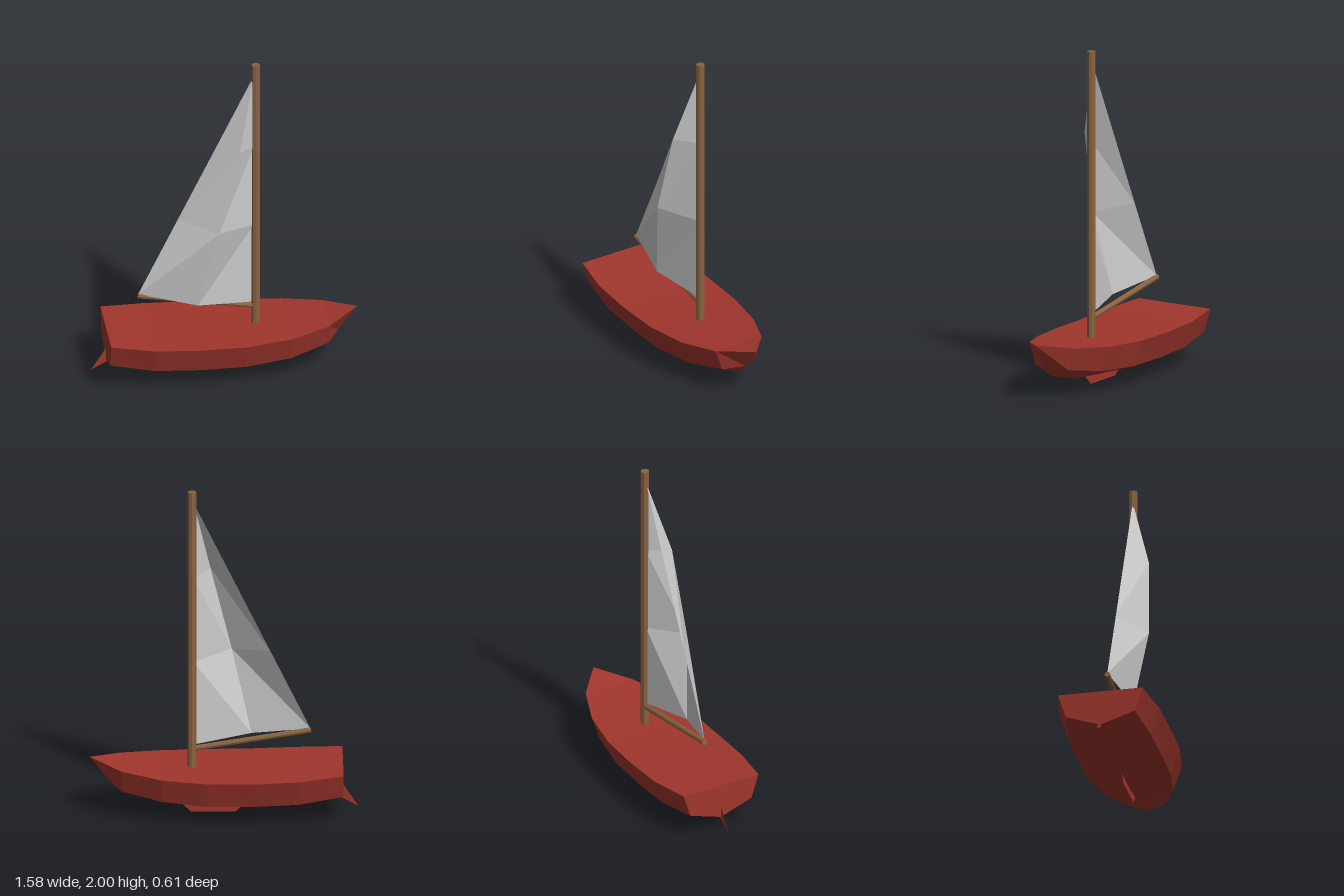
import * as THREE from 'three';

const paint = (color, side = THREE.FrontSide) =>
  new THREE.MeshStandardMaterial({ color, flatShading: true, side });
const red = 0xa0362d;
const wood = paint(0x8a6340);

function named(name, geometry, material) {
  const mesh = new THREE.Mesh(geometry, material);
  mesh.name = name;
  return mesh;
}

// Flat-shaded geometry from a list of Vector3 triangle corners
function facets(corners) {
  const geometry = new THREE.BufferGeometry().setFromPoints(corners);
  geometry.computeVertexNormals();
  return geometry;
}

// Straight round pole between two points
function pole(name, from, to, radius) {
  const direction = to.clone().sub(from);
  const mesh = named(name, new THREE.CylinderGeometry(radius, radius, direction.length(), 8), wood);
  mesh.position.copy(from).add(to).multiplyScalar(0.5);
  mesh.quaternion.setFromUnitVectors(new THREE.Vector3(0, 1, 0), direction.normalize());
  return mesh;
}

// Thin upright plate in the centre plane
function plate(name, points) {
  const shape = new THREE.Shape(points.map(([x, y]) => new THREE.Vector2(x, y)));
  return named(name, new THREE.ShapeGeometry(shape), paint(red, THREE.DoubleSide));
}

function hull() {
  // x, deck y, deck half width, chine y, chine half width, keel y
  const stations = [
    [-0.70, 0.31, 0.253, 0.165, 0.207, 0.095],
    [-0.44, 0.29, 0.297, 0.13, 0.243, 0.06],
    [-0.17, 0.28, 0.303, 0.12, 0.248, 0.045],
    [0.10, 0.28, 0.297, 0.12, 0.243, 0.043],
    [0.37, 0.29, 0.252, 0.137, 0.2, 0.065],
    [0.60, 0.312, 0.16, 0.177, 0.115, 0.125],
  ];
  const rings = stations.map(([x, dy, dz, cy, cz, ky]) =>
    [[dy, dz], [cy, cz], [ky, 0], [cy, -cz], [dy, -dz]].map(([y, z]) => new THREE.Vector3(x, y, z)));
  // The last ring collapses onto the raked stem
  const tip = new THREE.Vector3(0.785, 0.347, 0);
  const stem = new THREE.Vector3(0.672, 0.2, 0);
  rings.push([tip, stem, stem, stem, tip]);

  const corners = [];
  for (let i = 0; i < rings.length - 1; i++) {
    for (let k = 0; k < 5; k++) {
      const n = (k + 1) % 5;
      const a = rings[i][k], b = rings[i][n], c = rings[i + 1][n], d = rings[i + 1][k];
      corners.push(a, b, c);
      if (c !== d) corners.push(a, c, d);
    }
  }
  // Transom
  const stern = rings[0];
  for (let k = 1; k < 4; k++) corners.push(stern[0], stern[k + 1], stern[k]);
  return named('hull', facets(corners), paint(red));
}

function sail() {
  // Rows from foot to head, each running leech, belly, luff
  const rows = [
    [[-0.51, 0.515, 0], [-0.165, 0.46, 0.08], [0.175, 0.42, 0]],
    [[-0.275, 1.0, 0], [-0.05, 0.965, 0.147], [0.175, 0.935, 0]],
    [[-0.045, 1.475, 0], [0.075, 1.48, 0.12], [0.175, 1.46, 0]],
  ].map(row => row.map(p => new THREE.Vector3(...p)));
  const head = new THREE.Vector3(0.175, 1.93, 0);
  rows.push([head, head, head]);

  const corners = [];
  for (let i = 0; i < 3; i++) {
    for (let j = 0; j < 2; j++) {
      const a = rows[i][j], b = rows[i][j + 1], c = rows[i + 1][j + 1], d = rows[i + 1][j];
      corners.push(a, b, c);
      if (c !== d) corners.push(a, c, d);
    }
  }
  return named('sail', facets(corners), paint(0xcccccc, THREE.DoubleSide));
}

export function createModel() {
  const boat = new THREE.Group();
  boat.name = 'sailboat';
  boat.add(
    hull(),
    plate('keelFin', [[-0.14, 0.06], [-0.07, 0], [0.19, 0], [0.26, 0.065]]),
    plate('rudder', [[-0.79, 0.03], [-0.68, 0.09], [-0.68, 0.2]]),
    pole('mast', new THREE.Vector3(0.185, 0.27, 0), new THREE.Vector3(0.185, 2, 0), 0.026),
    pole('boom', new THREE.Vector3(-0.512, 0.507, 0), new THREE.Vector3(0.185, 0.395, 0), 0.017),
    sail(),
  );
  return boat;
}
